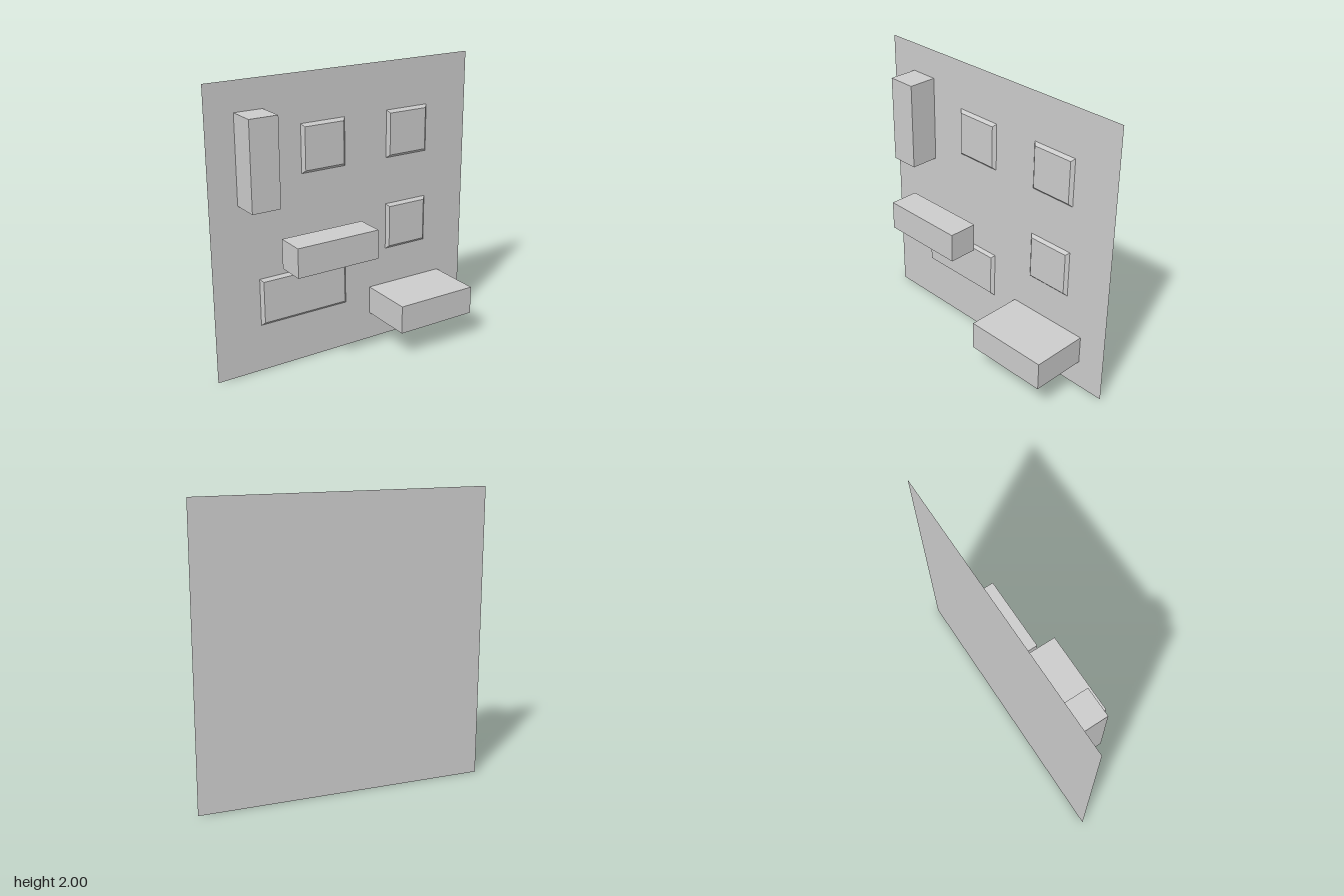
import * as THREE from 'three';

const material = new THREE.MeshStandardMaterial({ color: 0xcccccc, flatShading: true });
const WALL_Z = -0.2;

// Box given by its low and high corners
function block(name, [x0, y0, z0], [x1, y1, z1]) {
  const geometry = new THREE.BoxGeometry(x1 - x0, y1 - y0, z1 - z0);
  const mesh = new THREE.Mesh(geometry, material);
  mesh.name = name;
  mesh.position.set((x0 + x1) / 2, (y0 + y1) / 2, (z0 + z1) / 2);
  return mesh;
}

// Raised panel on the wall whose front face is drawn in to form a bevel
function bevelledPanel(name, x0, y0, x1, y1, bevel = 0.02) {
  const mesh = block(name, [x0, y0, WALL_Z], [x1, y1, WALL_Z + bevel]);
  const p = mesh.geometry.attributes.position;
  for (let i = 0; i < p.count; i++) {
    if (p.getZ(i) < 0) continue;
    p.setX(i, p.getX(i) - Math.sign(p.getX(i)) * bevel);
    p.setY(i, p.getY(i) - Math.sign(p.getY(i)) * bevel);
  }
  mesh.geometry.computeVertexNormals();
  return mesh;
}

export function createModel() {
  const group = new THREE.Group();
  group.name = 'wallWithBlocks';

  // Thin square wall, seen from both sides
  const wallMaterial = material.clone();
  wallMaterial.side = THREE.DoubleSide;
  const wall = new THREE.Mesh(new THREE.PlaneGeometry(2, 2), wallMaterial);
  wall.name = 'wall';
  wall.position.set(0, 1, WALL_Z);
  group.add(wall);

  // Blocks: upright on the wall, floating bar, and deep ledge
  group.add(
    block('uprightBlock', [-0.8, 1.2, WALL_Z], [-0.6, 1.8, 0]),
    block('floatingBar', [-0.6, 0.8, 0], [0, 1, 0.2]),
    block('ledge', [0.2, 0.2, WALL_Z], [0.8, 0.4, 0.2])
  );

  // Bevelled panels, laid out on a grid of thirds
  const t = 1 / 3;
  group.add(
    bevelledPanel('upperRightPanel', -t, 4 * t, 0, 5 * t),
    bevelledPanel('upperLeftPanel', t, 4 * t, 2 * t, 5 * t),
    bevelledPanel('middleLeftPanel', t, 2 * t, 2 * t, 3 * t),
    bevelledPanel('lowerWidePanel', -2 * t, t, 0, 2 * t)
  );
  return group;
}
